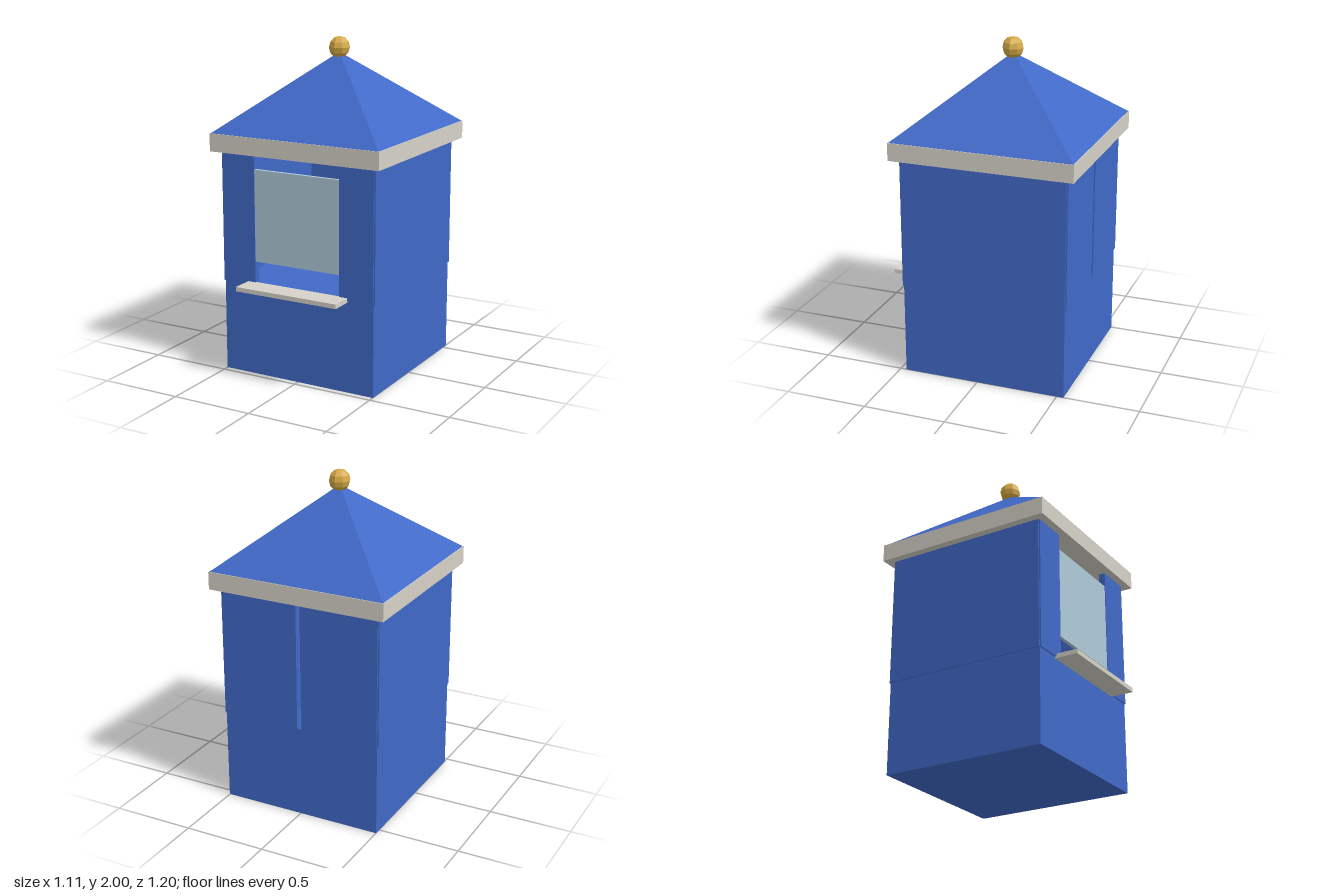
import * as THREE from 'three';

const paint = (color) => new THREE.MeshStandardMaterial({ color, flatShading: true });

export function createModel() {
  const model = new THREE.Group();
  const booth = new THREE.Group(); // the booth sits slightly behind the centre, the sill sticks out in front
  booth.name = 'booth';
  booth.position.z = -0.04;
  model.add(booth);

  const blue = paint(0x4169c8);
  const cream = paint(0xd6d2c8);
  const gold = paint(0xd4a843);
  const glass = paint(0xaecbd8);

  const add = (name, geometry, material, x, y, z) => {
    const mesh = new THREE.Mesh(geometry, material);
    mesh.name = name;
    mesh.position.set(x, y, z);
    booth.add(mesh);
    return mesh;
  };
  // Box given by its lower and upper limits on each axis
  const box = (name, material, [x0, x1], [y0, y1], [z0, z1]) =>
    add(name, new THREE.BoxGeometry(x1 - x0, y1 - y0, z1 - z0), material,
      (x0 + x1) / 2, (y0 + y1) / 2, (z0 + z1) / 2);

  const half = 0.502, outer = 0.51, inner = 0.47;
  const wallY = [0.56, 1.35];

  // Solid lower body
  box('base', blue, [-half, half], [0, 0.56], [-half, half]);

  // Upper wall panels: sides, front posts beside the opening, back doors with a slit between
  for (const s of [-1, 1]) {
    const span = (a, b) => (s > 0 ? [a, b] : [-b, -a]);
    box('sideWall', blue, span(inner, outer), wallY, [-half, half]);
    box('frontPost', blue, span(0.283, half), wallY, [inner, outer]);
    box('backDoor', blue, span(0.013, half), wallY, [-outer, -inner]);
  }

  // Serving window and its counter
  box('windowPane', glass, [-0.283, 0.283], [0.705, 1.26], [0.485, 0.507]);
  box('counter', cream, [-0.335, 0.335], [0.55, 0.577], [0.5, 0.642]);

  // Roof: trim slab, pyramid and finial ball
  box('roofTrim', cream, [-0.557, 0.557], [1.35, 1.457], [-0.557, 0.557]);
  const roof = new THREE.ConeGeometry(0.552 * Math.SQRT2, 0.45, 4);
  roof.rotateY(Math.PI / 4);
  add('roof', roof, blue, 0, 1.457 + 0.225, 0);
  add('finial', new THREE.SphereGeometry(0.065, 8, 6), gold, 0, 1.935, 0);

  return model;
}
